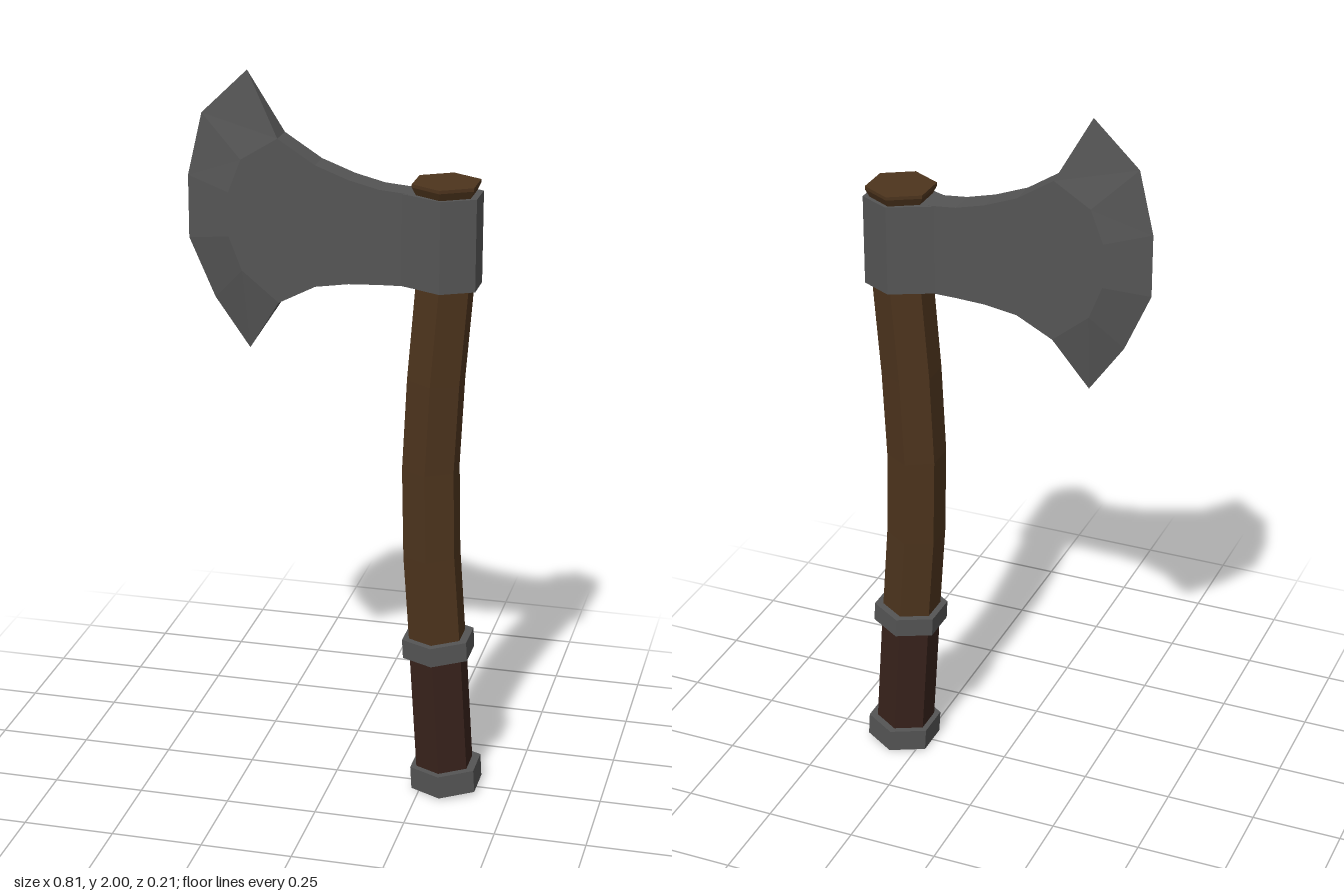
import * as THREE from 'three';

const material = (color) => new THREE.MeshStandardMaterial({ color, flatShading: true });

// Six-sided loft through rings of [x, y, radius, slope], listed from top to bottom
function hexLoft(rings) {
  const n = rings.length - 1;
  const geo = new THREE.CylinderGeometry(1, 1, 1, 6, n);
  const pos = geo.attributes.position;
  for (let i = 0; i < pos.count; i++) {
    const [cx, cy, r, slope] = rings[Math.round((0.5 - pos.getY(i)) * n)];
    const dx = pos.getX(i) * r;
    pos.setXYZ(i, cx + dx, cy + dx * slope, pos.getZ(i) * r);
  }
  geo.computeVertexNormals();
  return geo;
}

// Sharpened strips from the flat cheek (inner) to the cutting edge (outer), on both faces
function edgeBevel(inner, outer, t) {
  const v = [];
  const tri = (a, b, c) => v.push(...a, ...b, ...c);
  for (const s of [1, -1]) {
    const face = (a, b, c) => (s > 0 ? tri(a, b, c) : tri(a, c, b));
    for (let i = 0; i < inner.length - 1; i++) {
      const a = [...inner[i], s * t], b = [...inner[i + 1], s * t];
      const c = [...outer[i], 0], d = [...outer[i + 1], 0];
      face(a, c, d);
      face(a, d, b);
    }
  }
  // Backs of the upper and lower horns
  const last = inner.length - 1;
  tri([...inner[0], t], [...inner[0], -t], [...outer[0], 0]);
  tri([...inner[last], -t], [...inner[last], t], [...outer[last], 0]);
  const geo = new THREE.BufferGeometry();
  geo.setAttribute('position', new THREE.Float32BufferAttribute(v, 3));
  geo.computeVertexNormals();
  return geo;
}

const shapeOf = (pts) => new THREE.Shape(pts.map(([x, y]) => new THREE.Vector2(x, y)));

export function createModel() {
  const model = new THREE.Group();
  model.name = 'axe';
  const metal = material(0x555555);
  const wood = material(0x4d341d);
  const leather = material(0x38221b);
  const add = (name, geo, mat, parent = model) => {
    const mesh = new THREE.Mesh(geo, mat);
    mesh.name = name;
    parent.add(mesh);
  };

  // Curved handle, grip and metal fittings
  add('handle', hexLoft([
    [0.29, 1.71, 0.08, 0], [0.29, 1.46, 0.081, -0.04], [0.27, 1.2, 0.081, -0.06],
    [0.259, 0.95, 0.081, 0], [0.265, 0.7, 0.081, 0.06], [0.285, 0.43, 0.081, 0.07],
  ]), wood);
  add('handleCap', hexLoft([
    [0.29, 1.737, 0.094, 0], [0.29, 1.728, 0.094, 0], [0.29, 1.7, 0.079, 0],
  ]), wood);
  add('grip', hexLoft([[0.285, 0.43, 0.082, 0.07], [0.311, 0.04, 0.082, 0.07]]), leather);
  add('gripRing', hexLoft([[0.285, 0.459, 0.103, 0.06], [0.288, 0.405, 0.103, 0.06]]), metal);
  add('pommel', hexLoft([[0.312, 0.072, 0.103, 0.06], [0.316, 0.007, 0.103, 0.06]]), metal);

  // Axe head
  const head = new THREE.Group();
  head.name = 'axeHead';
  model.add(head);
  const t = 0.038;

  // Hexagonal socket with a small flare into the neck
  const socket = new THREE.ExtrudeGeometry(shapeOf([
    [0.18, -t], [0.205, -0.049], [0.293, -0.091], [0.379, -0.046],
    [0.379, 0.046], [0.293, 0.091], [0.205, 0.049], [0.18, t],
  ]), { depth: 0.247, bevelEnabled: false });
  socket.rotateX(-Math.PI / 2).translate(0, 1.46, 0);
  add('socket', socket, metal, head);

  // Flat cheek with the curved neck
  const inner = [[-0.15, 1.832], [-0.25, 1.77], [-0.285, 1.68], [-0.285, 1.56], [-0.25, 1.47], [-0.15, 1.388]];
  const outer = [[-0.24, 2], [-0.365, 1.88], [-0.405, 1.71], [-0.405, 1.54], [-0.335, 1.38], [-0.24, 1.245]];
  const cheek = new THREE.ExtrudeGeometry(shapeOf([
    ...inner, [-0.05, 1.44], [0.04, 1.454], [0.12, 1.458], [0.2, 1.46],
    [0.2, 1.707], [0.12, 1.714], [0.04, 1.734], [-0.05, 1.768],
  ]), { depth: 2 * t, bevelEnabled: false });
  cheek.translate(0, 0, -t);
  add('bladeCheek', cheek, metal, head);
  add('bladeEdge', edgeBevel(inner, outer, t), metal, head);

  return model;
}
